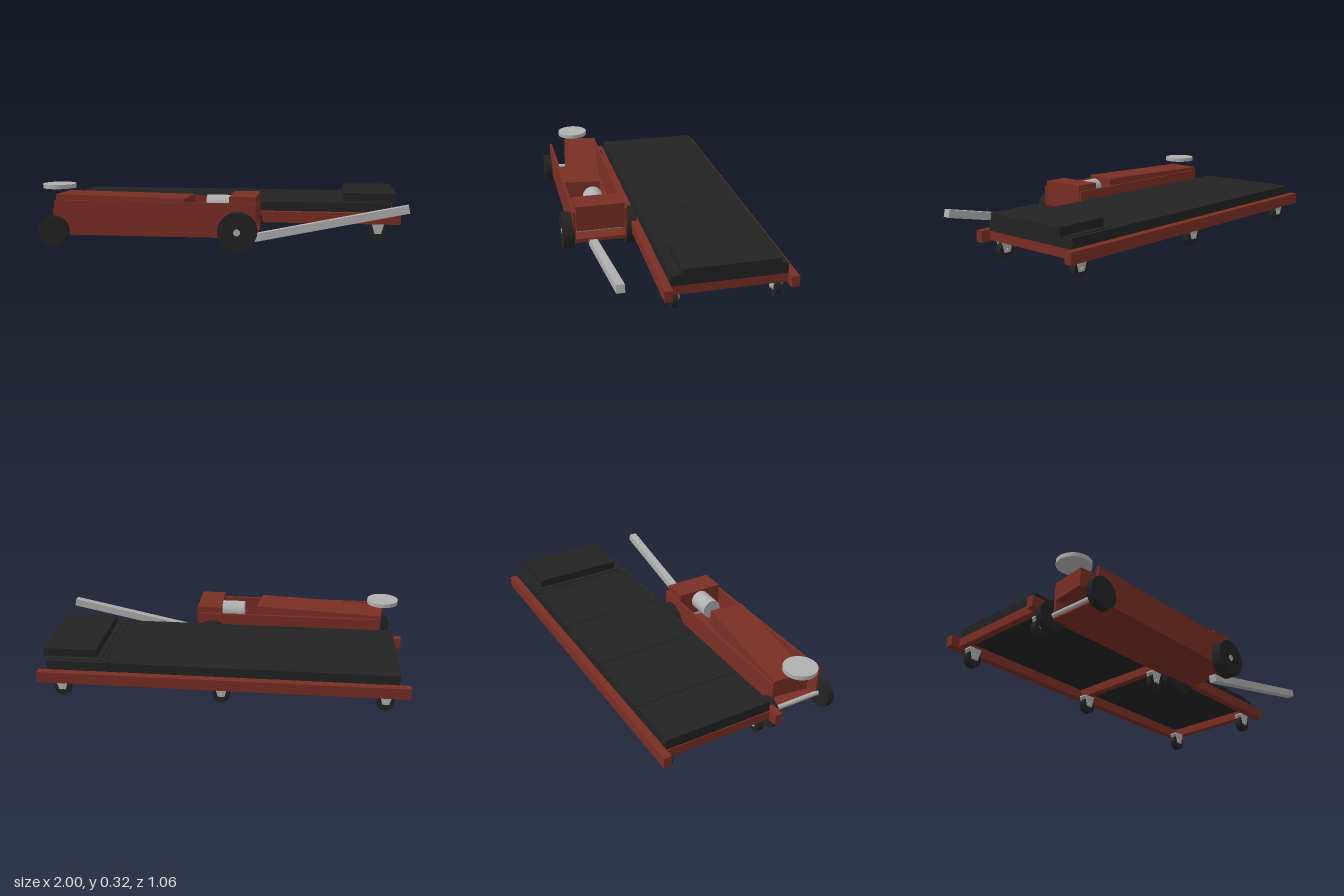
import * as THREE from 'three';

const mat = (name, color) => Object.assign(new THREE.MeshStandardMaterial({ color }), { name });

export function createModel() {
  const red = mat('red paint', 0x7a2e24);
  const black = mat('black rubber', 0x232323);
  const steel = mat('bare steel', 0xb0b0b0);

  const add = (parent, name, geometry, material, x = 0, y = 0, z = 0) => {
    const mesh = new THREE.Mesh(geometry, material);
    mesh.name = name;
    mesh.position.set(x, y, z);
    parent.add(mesh);
    return mesh;
  };
  // Box given by its limits on each axis
  const box = (parent, name, material, [x0, x1], [y0, y1], [z0, z1]) =>
    add(parent, name, new THREE.BoxGeometry(x1 - x0, y1 - y0, z1 - z0), material,
      (x0 + x1) / 2, (y0 + y1) / 2, (z0 + z1) / 2);
  // Cylinder lying along z
  const disc = (parent, name, material, r, x, y, [z0, z1], sides = 24) =>
    add(parent, name, new THREE.CylinderGeometry(r, r, z1 - z0, sides).rotateX(Math.PI / 2),
      material, x, y, (z0 + z1) / 2);
  const group = (parent, name) => {
    const g = new THREE.Group();
    g.name = name;
    parent.add(g);
    return g;
  };

  const model = group(new THREE.Group(), 'creeperAndJack');
  model.removeFromParent();

  // ---- Creeper: frame ----
  const creeper = group(model, 'creeper');
  for (const z of [-0.53, 0.11]) box(creeper, 'sideRail', red, [-1, 0.97], [0.1, 0.16], [z, z + 0.042]);
  for (const x of [-0.93, -0.015, 0.9])
    box(creeper, 'crossBar', red, [x - 0.02, x + 0.02], [0.107, 0.155], [-0.488, 0.11]);

  // ---- Creeper: padding, with shallow seams between the panels ----
  box(creeper, 'padBase', black, [-0.945, 0.92], [0.155, 0.207], [-0.488, 0.109]);
  const seams = [-0.945, -0.65, -0.235, 0.19, 0.6, 0.92];
  for (let i = 0; i < 5; i++)
    box(creeper, 'padPanel', black, [seams[i] + (i ? 0.002 : 0), seams[i + 1] - (i < 4 ? 0.002 : 0)],
      [0.205, 0.211], [-0.488, 0.109]);
  box(creeper, 'headrestBase', black, [0.63, 0.92], [0.21, 0.216], [-0.465, 0.083]);
  box(creeper, 'headrest', black, [0.66, 0.95], [0.212, 0.26], [-0.437, 0.058]);

  // ---- Creeper: casters ----
  const forkShape = new THREE.Shape([[-0.036, 0.104], [0.036, 0.104], [0.018, 0.038], [-0.018, 0.038]]
    .reverse().map(([x, y]) => new THREE.Vector2(x, y)));
  const forkPlate = new THREE.ExtrudeGeometry(forkShape, { depth: 0.005, bevelEnabled: false });
  for (const x of [-0.88, -0.015, 0.85]) for (const z of [-0.455, 0.079]) {
    const caster = group(creeper, 'caster');
    caster.position.set(x, 0, z);
    disc(caster, 'casterWheel', black, 0.046, 0, 0.046, [-0.017, 0.017], 20);
    disc(caster, 'casterPin', steel, 0.011, 0, 0.05, [-0.031, 0.031], 6);
    for (const s of [-0.024, 0.019]) add(caster, 'casterFork', forkPlate, steel, 0, 0, s);
    box(caster, 'casterPlate', steel, [-0.036, 0.036], [0.097, 0.106], [-0.024, 0.024]);
  }

  // ---- Floor jack: open chassis ----
  const jack = group(model, 'floorJack');
  const mid = 0.325;
  for (const s of [-1, 1]) {
    const side = (a, b) => [mid + s * a, mid + s * b].sort((p, q) => p - q);
    box(jack, 'sidePlate', red, [-0.88, 0.2], [0.065, 0.248], side(0.138, 0.152));
    disc(jack, 'rearWheel', black, 0.103, 0.107, 0.103, side(0.146, 0.206));
    disc(jack, 'frontWheel', black, 0.082, -0.88, 0.087, side(0.152, 0.192));
  }
  box(jack, 'bottomPlate', red, [-0.88, 0.2], [0.065, 0.085], [mid - 0.14, mid + 0.14]);
  box(jack, 'rearHousing', red, [0.06, 0.2], [0.135, 0.28], [mid - 0.134, mid + 0.134]);
  disc(jack, 'rearAxle', steel, 0.018, 0.107, 0.103, [mid - 0.207, mid + 0.207], 16);
  disc(jack, 'frontAxle', steel, 0.013, -0.88, 0.087, [mid - 0.17, mid + 0.17], 16);

  // ---- Floor jack: lifting parts ----
  const arm = add(jack, 'liftArm', new THREE.BoxGeometry(0.735, 0.1, 0.2), red, -0.527, 0.219, mid - 0.003);
  arm.rotation.y = -0.122;
  add(jack, 'saddle', new THREE.CylinderGeometry(0.09, 0.09, 0.023, 32), steel, -0.897, 0.312, mid - 0.002);
  add(jack, 'hydraulicCylinder', new THREE.CylinderGeometry(0.055, 0.055, 0.135, 28).rotateZ(Math.PI / 2),
    steel, -0.006, 0.219, mid);

  // ---- Floor jack: handle ----
  const a = new THREE.Vector2(0.155, 0.045), b = new THREE.Vector2(0.992, 0.219);
  const handle = add(jack, 'handle', new THREE.BoxGeometry(a.distanceTo(b), 0.042, 0.043), steel,
    (a.x + b.x) / 2, (a.y + b.y) / 2, 0.367);
  handle.rotation.z = Math.atan2(b.y - a.y, b.x - a.x);

  return model;
}
